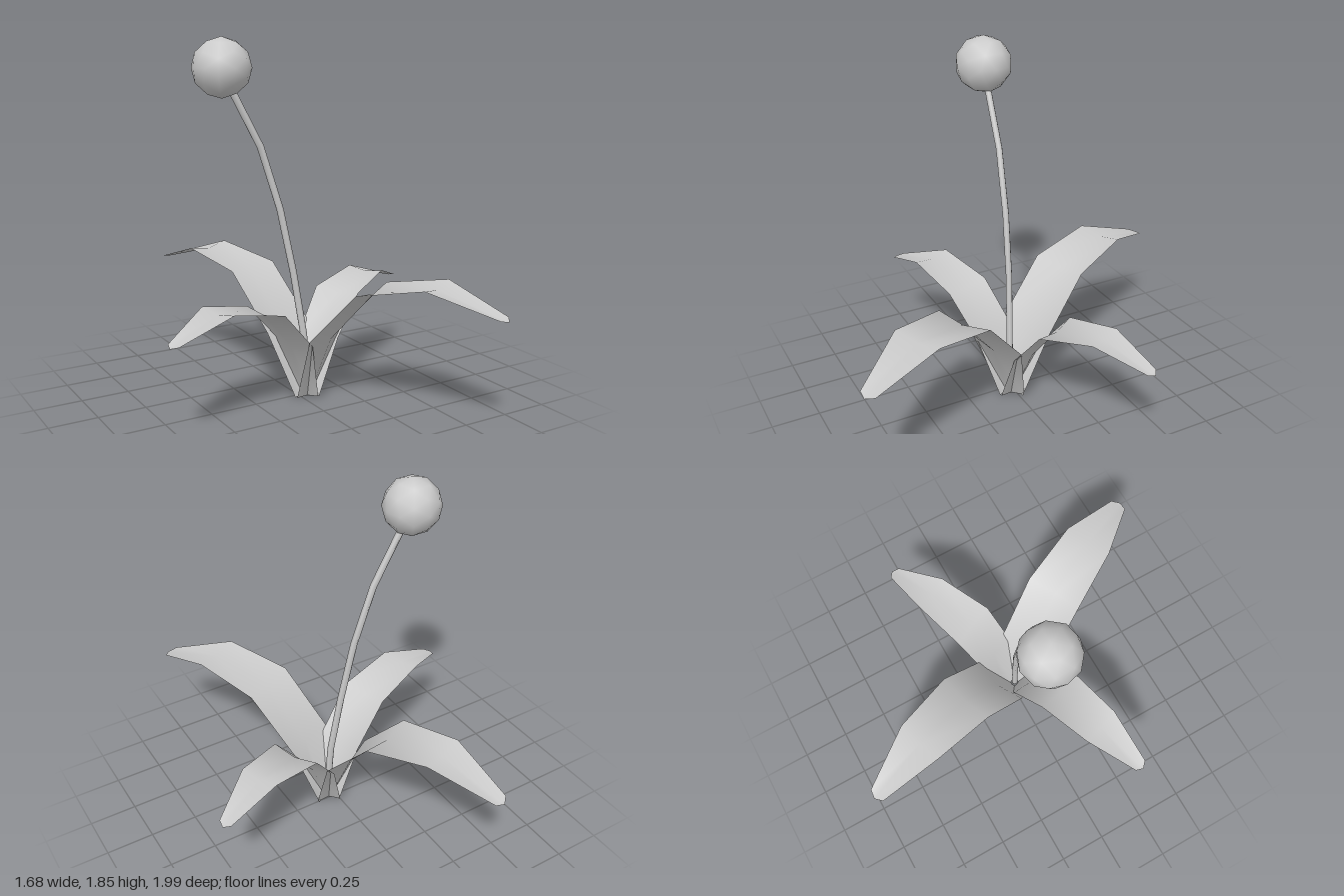
import * as THREE from 'three';

const material = new THREE.MeshStandardMaterial({ color: 0xcccccc, side: THREE.DoubleSide });

// A leaf is a folded strip; each section is [centre x, centre y, centre z, half width, fold depth]
function makeLeaf(name, sections) {
  const centres = sections.map((s) => new THREE.Vector3(s[0], s[1], s[2]));
  const first = centres[0];
  const last = centres[centres.length - 1];
  const out = last.clone().sub(first).setY(0).normalize();
  const side = new THREE.Vector3(out.z, 0, -out.x);
  const positions = [];
  const index = [];
  sections.forEach(([, , , halfWidth, fold], i) => {
    const c = centres[i];
    // The fold sinks away from the leaf's upper face
    const run = centres[Math.min(i + 1, centres.length - 1)].clone().sub(centres[Math.max(i - 1, 0)]).normalize();
    const down = new THREE.Vector3().crossVectors(side, run).normalize();
    const middle = c.clone().addScaledVector(down, fold);
    for (const p of [c.clone().addScaledVector(side, -halfWidth), middle, c.clone().addScaledVector(side, halfWidth)]) {
      positions.push(p.x, p.y, p.z);
    }
    if (i === 0) return;
    for (let k = 0; k < 2; k++) {
      const a = (i - 1) * 3 + k;
      index.push(a, a + 3, a + 1, a + 1, a + 3, a + 4);
    }
  });
  // Blunt rounded tip
  const tip = last.clone().addScaledVector(out, 0.022);
  const n = positions.length / 3;
  positions.push(tip.x, tip.y - 0.01, tip.z);
  index.push(n - 3, n, n - 2, n - 2, n, n - 1);

  const geometry = new THREE.BufferGeometry();
  geometry.setAttribute('position', new THREE.Float32BufferAttribute(positions, 3));
  geometry.setIndex(index);
  // Wind every leaf so that its upper face is the front
  geometry.computeVertexNormals();
  if (geometry.attributes.normal.getY(7) < 0) {
    for (let i = 0; i < index.length; i += 3) [index[i], index[i + 1]] = [index[i + 1], index[i]];
    geometry.setIndex(index);
    geometry.computeVertexNormals();
  }
  const leaf = new THREE.Mesh(geometry, material);
  leaf.name = name;
  return leaf;
}

export function createModel() {
  const group = new THREE.Group();
  group.name = 'flower';

  // Two long leaves and two shorter ones around the base
  group.add(
    makeLeaf('frontLeaf', [
      [0.04, 0.02, 0.02, 0.09, 0.02], [0.09, 0.36, 0.125, 0.155, 0.035], [0.205, 0.64, 0.36, 0.16, 0.025],
      [0.36, 0.71, 0.67, 0.135, 0.022], [0.512, 0.6, 0.97, 0.046, 0.008],
    ]),
    makeLeaf('backLeaf', [
      [0.04, 0.02, 0.02, 0.09, 0.02], [-0.005, 0.36, -0.095, 0.16, 0.035], [-0.08, 0.64, -0.34, 0.158, 0.025],
      [-0.19, 0.71, -0.665, 0.13, 0.022], [-0.3, 0.6, -0.98, 0.044, 0.008],
    ]),
    makeLeaf('leftLeaf', [
      [0.04, 0.02, 0.02, 0.08, 0.02], [0.145, 0.31, -0.03, 0.12, 0.03], [0.3, 0.515, -0.095, 0.133, 0.022],
      [0.57, 0.575, -0.215, 0.105, 0.018], [0.815, 0.485, -0.325, 0.036, 0.007],
    ]),
    makeLeaf('rightLeaf', [
      [0.04, 0.02, 0.02, 0.08, 0.02], [-0.06, 0.33, 0.06, 0.125, 0.03], [-0.26, 0.54, 0.125, 0.13, 0.022],
      [-0.555, 0.605, 0.205, 0.11, 0.018], [-0.822, 0.51, 0.297, 0.037, 0.007],
    ]),
  );

  // Leaning stem
  const path = new THREE.CatmullRomCurve3([
    [0.045, 0.01, 0.025], [0.03, 0.28, 0.02], [-0.01, 0.58, 0.0],
    [-0.075, 0.93, -0.018], [-0.17, 1.27, -0.035], [-0.35, 1.62, -0.05],
  ].map((p) => new THREE.Vector3(...p)));
  const stem = new THREE.Mesh(new THREE.TubeGeometry(path, 5, 0.018, 6), material);
  stem.name = 'stem';
  group.add(stem);

  // Round flower head
  const head = new THREE.Mesh(new THREE.IcosahedronGeometry(0.146, 1), material);
  head.name = 'flowerHead';
  head.position.set(-0.39, 1.71, -0.053);
  group.add(head);

  return group;
}
